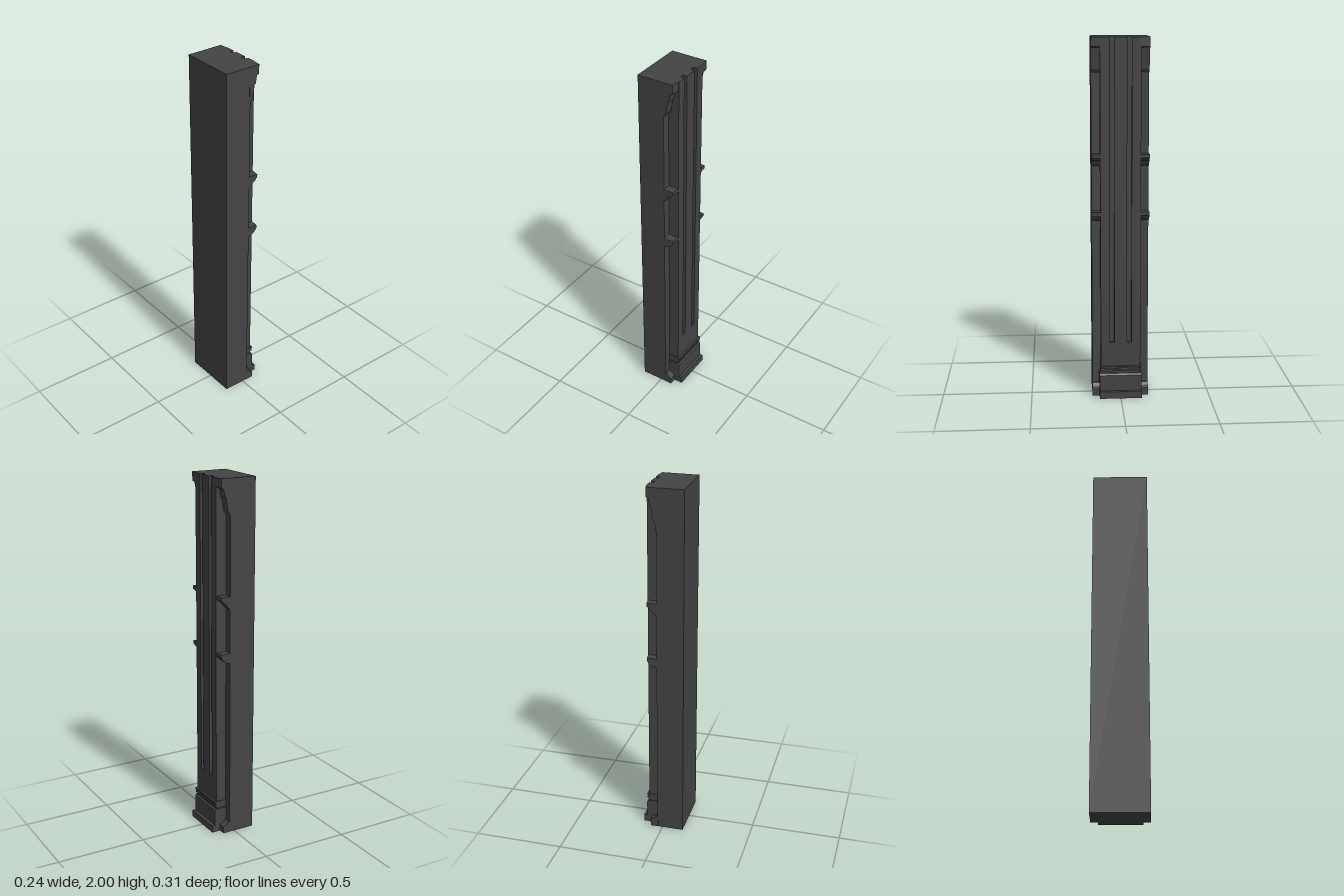
import * as THREE from 'three';

const material = new THREE.MeshStandardMaterial({ color: 0x444444, flatShading: true });

const shapeOf = (pts) => new THREE.Shape(pts.map(([a, b]) => new THREE.Vector2(a, b)));

function addMesh(group, name, geometry) {
  const mesh = new THREE.Mesh(geometry, material);
  mesh.name = name;
  group.add(mesh);
  return mesh;
}

// Side profile in (x, y), extruded from z0 to z1
function profileAlongZ(pts, z0, z1) {
  return new THREE.ExtrudeGeometry(shapeOf(pts), { depth: z1 - z0, bevelEnabled: false }).translate(0, 0, z0);
}

function box(x0, x1, y0, y1, halfZ) {
  return new THREE.BoxGeometry(x1 - x0, y1 - y0, halfZ * 2)
    .translate((x0 + x1) / 2, (y0 + y1) / 2, 0);
}

export function createModel() {
  const group = new THREE.Group();
  group.name = 'pilaster';

  const back = 0.03; // face of the pier behind the shaft
  const face = 0.09; // face of the shaft

  // Plain pier
  addMesh(group, 'pier', box(-0.12, back, 0, 2, 0.156));

  // Shaft: solid foot, then a plan with two flutes carried to the top
  const fluteStart = 0.32, half = 0.11, floor = 0.068;
  addMesh(group, 'shaftFoot', box(back - 0.01, face, 0, fluteStart, half));
  const plan = [[back - 0.01, -half], [face, -half]];
  for (const [a, b] of [[-0.06, -0.035], [0.035, 0.06]]) {
    plan.push([face, a], [floor, a], [floor, b], [face, b]);
  }
  plan.push([face, half], [back - 0.01, half]);
  const shaft = new THREE.ExtrudeGeometry(shapeOf(plan), { depth: 2 - fluteStart, bevelEnabled: false });
  addMesh(group, 'flutedShaft', shaft.rotateX(-Math.PI / 2).translate(0, fluteStart, 0));

  // Stepped base with a double moulding above the die
  addMesh(group, 'plinth', box(back, 0.12, 0, 0.04, 0.118));
  addMesh(group, 'baseDie', profileAlongZ(
    [[back, 0.03], [0.102, 0.03], [0.102, 0.13], [0.094, 0.14], [back, 0.14]], -0.118, 0.118));
  addMesh(group, 'baseMoulding', profileAlongZ(
    [[back, 0.155], [0.1, 0.155], [0.1, 0.165], [0.093, 0.169], [0.093, 0.173],
      [0.102, 0.173], [0.102, 0.183], [back, 0.183]], -0.114, 0.114));

  // Mouldings on the recessed strips beside the shaft
  const b = back - 0.005;
  const sideProfiles = {
    topBracket: [[b, 1.81], [0.032, 1.81], [0.045, 1.83], [0.056, 1.9], [0.062, 1.9], [0.07, 1.945],
      [face, 1.95], [face, 2], [b, 2]],
    upperBracket: [[b, 1.31], [0.036, 1.31], [0.05, 1.325], [0.058, 1.34], [0.07, 1.345],
      [0.074, 1.355], [face, 1.358], [face, 1.378], [b, 1.378]],
    lowerBracket: [[b, 1.01], [0.046, 1.01], [0.06, 1.018], [0.075, 1.032], [face, 1.044],
      [face, 1.062], [b, 1.062]],
    footBlock: [[b, 0], [0.07, 0], [0.07, 0.04], [0.05, 0.05], [0.036, 0.065], [b, 0.065]],
  };
  for (const [name, pts] of Object.entries(sideProfiles)) {
    for (const [side, z0, z1] of [['left', -0.157, -0.1], ['right', 0.1, 0.157]]) {
      const geometry = profileAlongZ(pts, z0, z1);
      // Outer corners splay back slightly
      const p = geometry.attributes.position;
      for (let i = 0; i < p.count; i++) {
        if (p.getX(i) > 0.08 && Math.abs(p.getZ(i)) > 0.15) p.setX(i, 0.083);
      }
      geometry.computeVertexNormals();
      addMesh(group, name + (side === 'left' ? 'Back' : 'Front'), geometry);
    }
  }
  return group;
}
